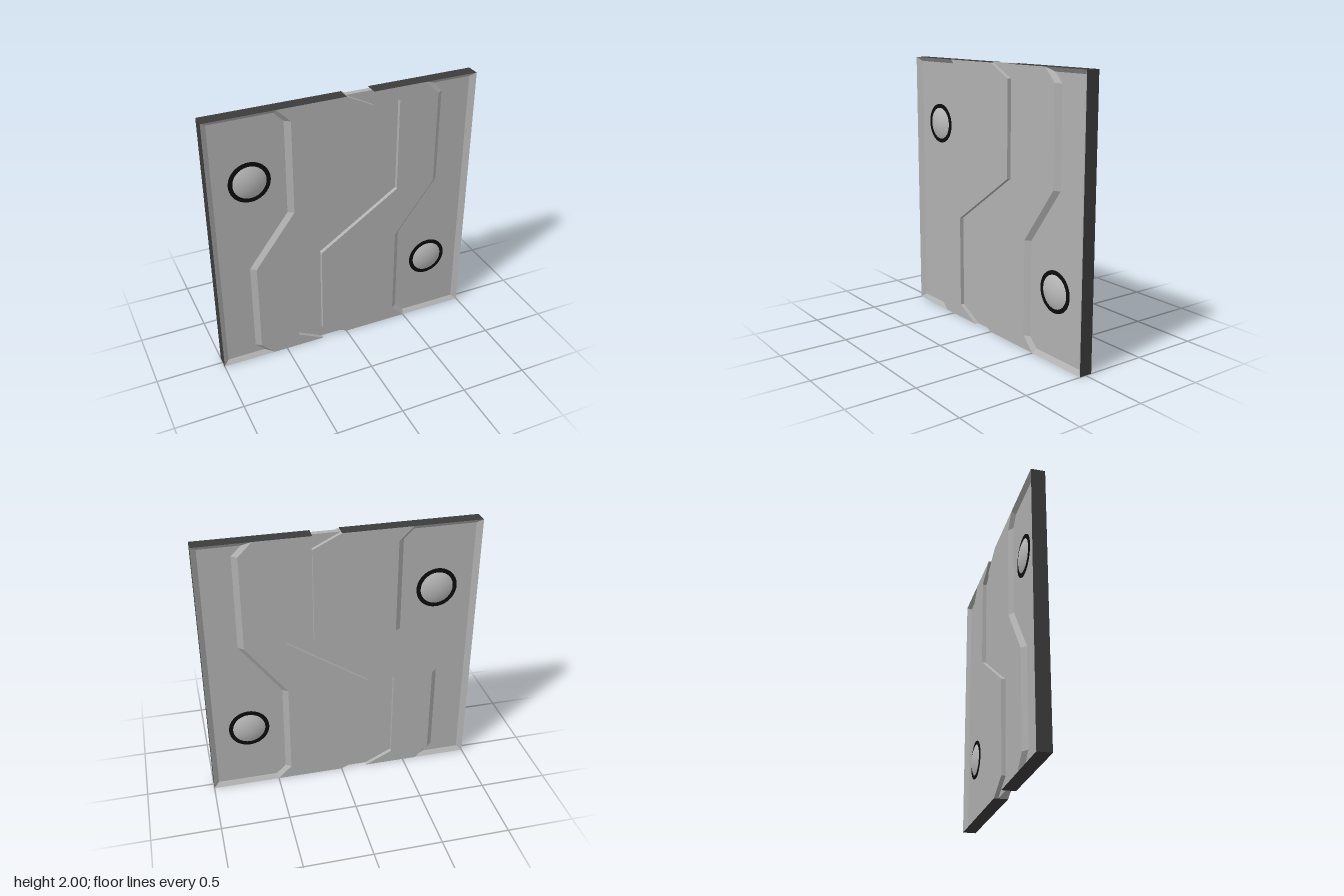
import * as THREE from 'three';

const FACE = 0.05, FLOOR = 0.02; // half thickness at the raised face and at the recess / tongue

// left half, all paths run counter-clockwise around the solid
const seam = [[-0.2, 0], [-0.4, 0.1], [-0.4, 0.8], [0.2, 1.2], [0.2, 1.9], [0, 2]];
const border = [[0, 2], [-1, 2], [-1, 0], [-0.2, 0]];
const recessTop = [[-1, 0], [-0.6, 0], [-0.7, 0.1], [-0.7, 0.8], [-0.4, 1.2], [-0.4, 1.9], [-0.5, 2], [-1, 2]];
const recessFloor = [[-0.96, 0.03], [-0.67, 0.03], [-0.74, 0.1], [-0.74, 0.8],
  [-0.44, 1.2], [-0.44, 1.9], [-0.51, 1.97], [-0.96, 1.97]];

const shapeOf = pts => new THREE.Shape(pts.map(p => new THREE.Vector2(p[0], p[1])));
const flat = (pts, z) => new THREE.ShapeGeometry(shapeOf(pts)).translate(0, 0, z);

// flat-shaded band of quads between two paths at two depths
function band(a, za, b, zb) {
  const pos = [];
  for (let i = 0; i < a.length - 1; i++) {
    const p = [...a[i], za], q = [...a[i + 1], za], r = [...b[i + 1], zb], s = [...b[i], zb];
    pos.push(...p, ...q, ...r, ...p, ...r, ...s);
  }
  const g = new THREE.BufferGeometry();
  g.setAttribute('position', new THREE.Float32BufferAttribute(pos, 3));
  g.computeVertexNormals();
  return g;
}

// mirrored copy for the back face, with corner order restored
function flipZ(geo) {
  const g = geo.index ? geo.toNonIndexed() : geo.clone();
  g.scale(1, 1, -1);
  const p = g.attributes.position, a = new THREE.Vector3(), b = new THREE.Vector3();
  for (let i = 0; i < p.count; i += 3) {
    a.fromBufferAttribute(p, i + 1);
    b.fromBufferAttribute(p, i + 2);
    p.setXYZ(i + 1, b.x, b.y, b.z);
    p.setXYZ(i + 2, a.x, a.y, a.z);
  }
  g.computeVertexNormals();
  return g;
}

export function createModel() {
  const mat = (name, color) => {
    const m = new THREE.MeshStandardMaterial({ color });
    m.name = name;
    return m;
  };
  const panelGrey = mat('panel grey', 0xb0b0b0);
  const edgeGrey = mat('dark edge grey', 0x3b3b3b);
  const ringBlack = mat('ring black', 0x0c0c0c);
  const domeGrey = mat('dome grey', 0xbababa);

  const add = (parent, name, geo, material) => {
    const m = new THREE.Mesh(geo, material);
    m.name = name;
    parent.add(m);
    return m;
  };

  // closed recess contours, run clockwise so the bevel faces inwards
  const loop = pts => [...pts, pts[0]].reverse();
  const skin = {
    raisedFace: flat([...seam, ...recessTop.slice(1, 7).reverse()], FACE),
    recessPanel: flat(recessFloor, FLOOR),
    recessBevel: band(loop(recessFloor), FLOOR, loop(recessTop), FACE),
    seamWall: band(seam, FLOOR, seam, FACE),
  };

  // round domed button on a thin black ring
  const rise = 0.025, radius = 0.12;
  const R = (radius * radius + rise * rise) / (2 * rise);
  const domeGeo = new THREE.SphereGeometry(R, 40, 10, 0, Math.PI * 2, 0, Math.asin(radius / R))
    .translate(0, rise - R, 0).rotateX(Math.PI / 2);
  const ringGeo = new THREE.CylinderGeometry(0.15, 0.15, 0.006, 40).rotateX(Math.PI / 2);

  function half(name) {
    const g = new THREE.Group();
    g.name = name;
    for (const [part, geo] of Object.entries(skin)) {
      add(g, part + 'Front', geo, panelGrey);
      add(g, part + 'Back', flipZ(geo), panelGrey);
    }
    add(g, 'outerEdge', band(border, -FACE, border, FACE), edgeGrey);
    for (const side of [1, -1]) {
      const button = new THREE.Group();
      button.name = side > 0 ? 'buttonFront' : 'buttonBack';
      add(button, 'buttonRing', ringGeo, ringBlack);
      add(button, 'buttonDome', domeGeo, domeGrey).position.z = 0.003;
      button.position.set(-0.7, 1.5, side * (FLOOR + 0.002));
      if (side < 0) button.rotation.y = Math.PI;
      g.add(button);
    }
    return g;
  }

  const model = new THREE.Group();
  model.name = 'slidingDoor';
  model.add(half('rightDoorHalf'));

  // the other half is the same one turned half a turn
  const other = half('leftDoorHalf');
  other.rotation.z = Math.PI;
  other.position.y = 2;
  model.add(other);

  // thin tongue that fills the zigzag gap
  const otherSeam = seam.map(([x, y]) => [-x, 2 - y]); // runs top to bottom
  const tongue = new THREE.ExtrudeGeometry(shapeOf([...otherSeam, ...seam]),
    { depth: 2 * FLOOR, bevelEnabled: false }).translate(0, 0, -FLOOR);
  add(model, 'seamTongue', tongue, panelGrey);

  return model;
}
